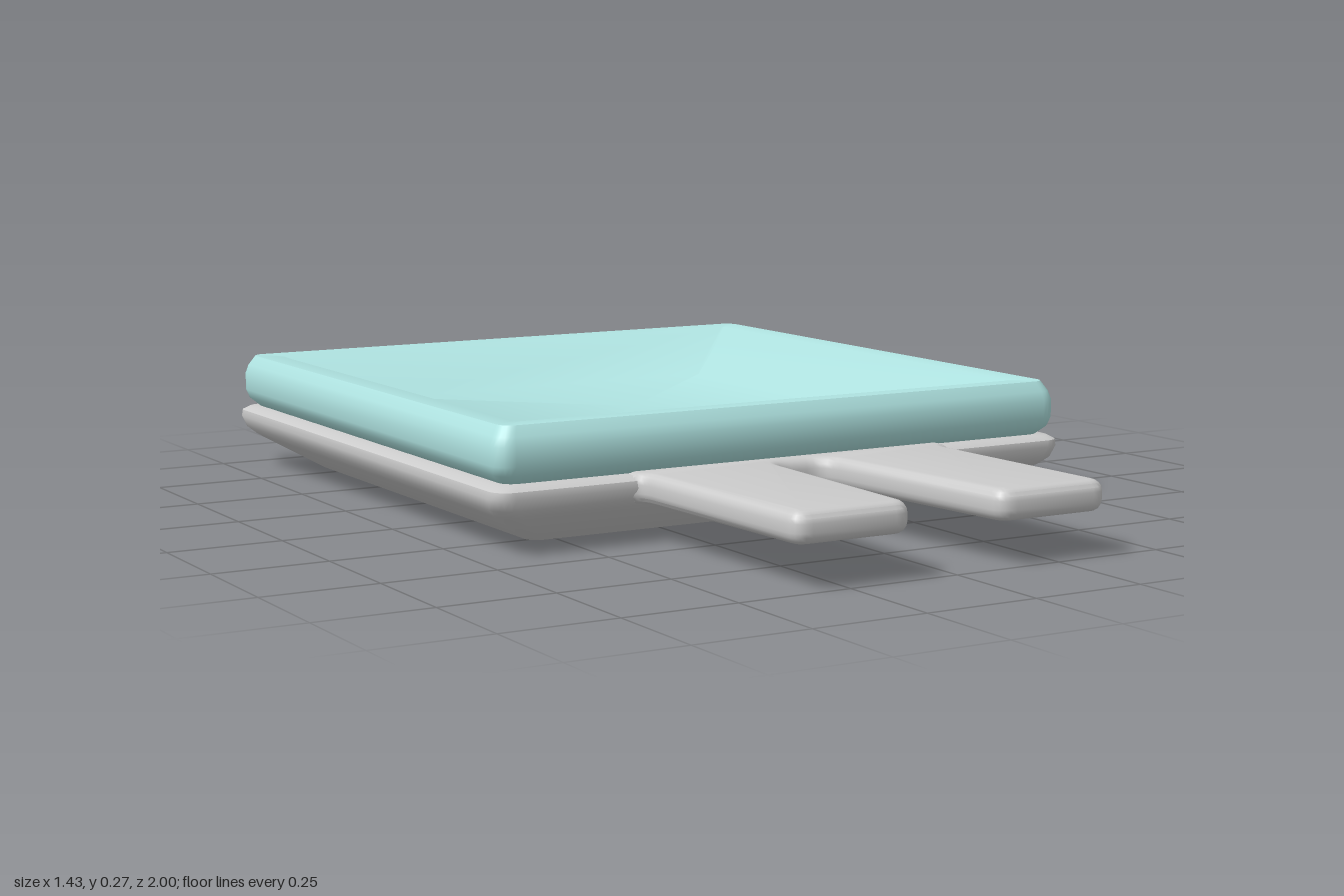
import * as THREE from 'three';
import { toCreasedNormals } from 'three/addons/utils/BufferGeometryUtils.js';

const CENTRE_Z = -0.287;
const CORNER_STEPS = 5;

// One rounded-square ring: half width h, corner radius r, height y
function squareRing(h, r, y) {
  const ring = [];
  for (let corner = 0; corner < 4; corner++) {
    const mid = Math.PI / 4 + corner * Math.PI / 2;
    const cx = Math.sign(Math.cos(mid)) * (h - r);
    const cz = Math.sign(Math.sin(mid)) * (h - r);
    for (let s = 0; s <= CORNER_STEPS; s++) {
      const a = (corner + s / CORNER_STEPS) * Math.PI / 2;
      ring.push([cx + Math.cos(a) * r, y, cz + Math.sin(a) * r]);
    }
  }
  return ring;
}

// Skin a bottom-to-top list of ring settings; half width 0 closes an end
function loftSquare(profile, crease) {
  const rings = profile.map((p) => squareRing(...p));
  const n = rings[0].length;
  const index = [];
  for (let i = 0; i < rings.length - 1; i++) {
    for (let j = 0; j < n; j++) {
      const a = i * n + j, b = i * n + (j + 1) % n, c = a + n, d = b + n;
      if (profile[i][0] > 0) index.push(a, c, b);
      if (profile[i + 1][0] > 0) index.push(b, c, d);
    }
  }
  const geo = new THREE.BufferGeometry();
  geo.setAttribute('position', new THREE.Float32BufferAttribute(rings.flat(2), 3));
  geo.setIndex(index);
  geo.translate(0, 0, CENTRE_Z);
  return toCreasedNormals(geo, crease);
}

// Two tapering prongs joined by a web that is buried in the base
function prongGeometry() {
  const s = new THREE.Shape();
  s.moveTo(-0.4, 0.34);
  s.lineTo(-0.4, 0.42);
  s.quadraticCurveTo(-0.378, 0.425, -0.378, 0.46);
  s.lineTo(-0.374, 0.96);
  s.quadraticCurveTo(-0.374, 1, -0.335, 1);
  s.lineTo(-0.145, 1);
  s.quadraticCurveTo(-0.105, 1, -0.102, 0.96);
  s.lineTo(-0.068, 0.48);
  s.quadraticCurveTo(-0.063, 0.43, -0.02, 0.43);
  s.lineTo(0.02, 0.43);
  s.quadraticCurveTo(0.063, 0.43, 0.068, 0.48);
  s.lineTo(0.102, 0.96);
  s.quadraticCurveTo(0.105, 1, 0.145, 1);
  s.lineTo(0.335, 1);
  s.quadraticCurveTo(0.374, 1, 0.374, 0.96);
  s.lineTo(0.378, 0.46);
  s.quadraticCurveTo(0.378, 0.425, 0.4, 0.42);
  s.lineTo(0.4, 0.34);
  const bevel = 0.024;
  const geo = new THREE.ExtrudeGeometry(s, {
    depth: 0.018, bevelThickness: bevel, bevelSize: bevel, bevelOffset: -bevel,
    bevelSegments: 4, curveSegments: 5,
  });
  geo.rotateX(Math.PI / 2);
  // rise gently towards the tips
  const p = geo.attributes.position;
  for (let i = 0; i < p.count; i++) p.setY(i, p.getY(i) + 0.121 + 0.012 * p.getZ(i));
  return toCreasedNormals(geo, 0.7);
}

export function createModel() {
  const model = new THREE.Group();
  const grey = new THREE.MeshStandardMaterial({ color: 0xcccccc });
  const teal = new THREE.MeshStandardMaterial({ color: 0xb0e4e2 });

  const add = (name, geometry, material) => {
    const mesh = new THREE.Mesh(geometry, material);
    mesh.name = name;
    model.add(mesh);
  };

  // Base pan with flat bottom, sloping underside and rounded lip
  add('seatBase', loftSquare([
    [0, 0, 0], [0.52, 0.03, 0], [0.56, 0.03, 0.001], [0.685, 0.04, 0.078], [0.704, 0.045, 0.095],
    [0.713, 0.045, 0.12], [0.71, 0.04, 0.135], [0.695, 0.035, 0.144], [0.66, 0.03, 0.146], [0, 0, 0.148],
  ], 0.8), grey);

  // Padded cushion: raised rim, sloping inner walls and a sunken square floor
  add('seatCushion', loftSquare([
    [0, 0, 0.146], [0.675, 0.03, 0.146], [0.695, 0.035, 0.165], [0.703, 0.04, 0.185],
    [0.703, 0.04, 0.225], [0.696, 0.035, 0.245], [0.682, 0.03, 0.267], [0.625, 0.01, 0.265],
    [0.43, 0.005, 0.175], [0, 0, 0.175],
  ], 0.8), teal);

  add('mountingProngs', prongGeometry(), grey);
  return model;
}
